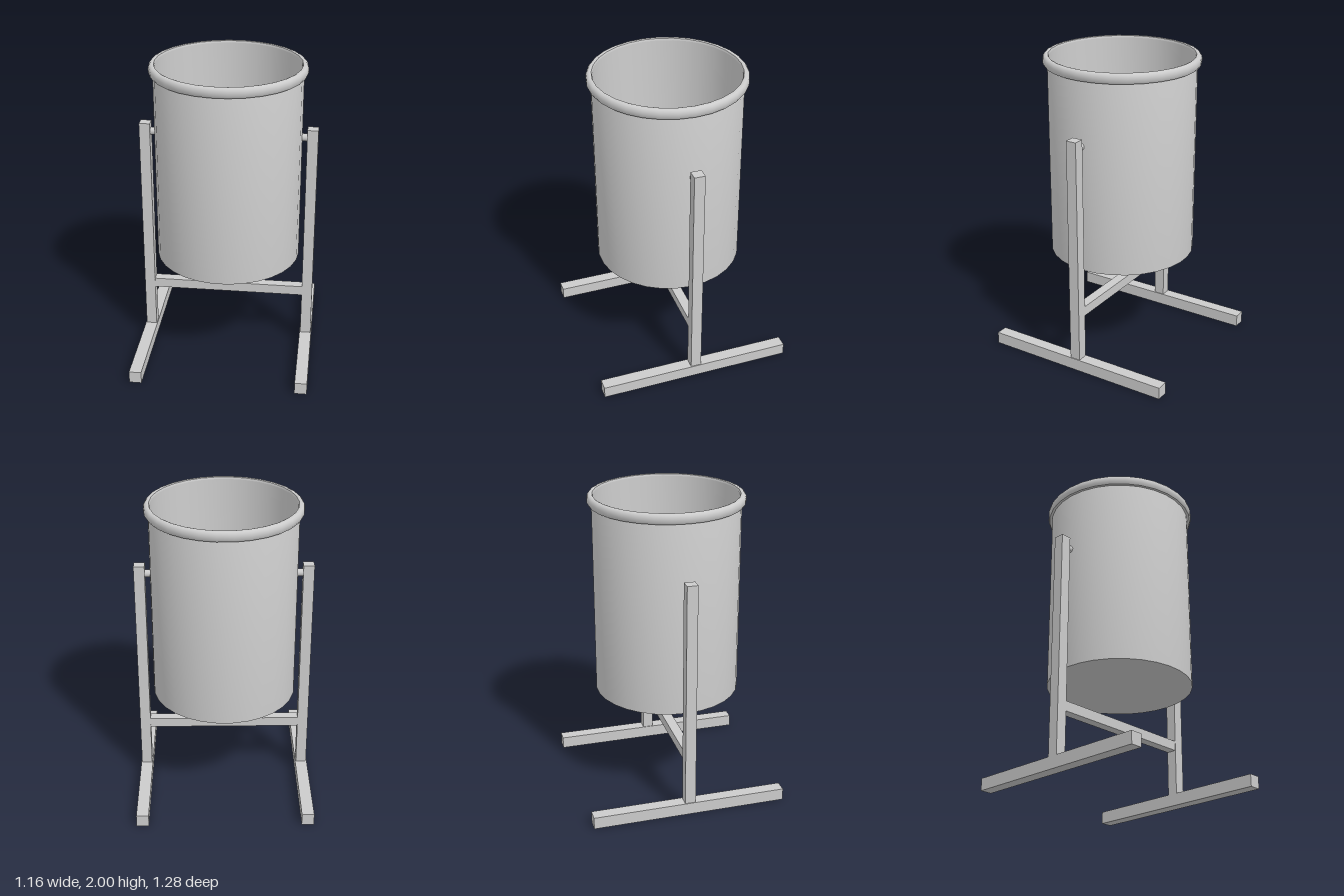
import * as THREE from 'three';
import { toCreasedNormals } from 'three/addons/utils/BufferGeometryUtils.js';

export function createModel() {
  const model = new THREE.Group();
  model.name = 'tiltingBin';
  const material = new THREE.MeshStandardMaterial({ color: 0xcccccc });
  const sides = 30;

  function add(name, geometry, x = 0, y = 0, z = 0) {
    const mesh = new THREE.Mesh(geometry, material);
    mesh.name = name;
    mesh.position.set(x, y, z);
    model.add(mesh);
    return mesh;
  }

  // Revolved part; the half-step start puts a flat side at the front
  function revolve(name, profile) {
    const points = profile.map(([r, y]) => new THREE.Vector2(r, y));
    const geometry = new THREE.LatheGeometry(points, sides, Math.PI / sides);
    return add(name, toCreasedNormals(geometry, 0.6));
  }

  // Drum: shallow cone underneath, straight outside wall, tapered inside wall and floor
  revolve('drum', [
    [0, 0.667], [0.473, 0.683], [0.473, 1.945],
    [0.46, 1.985], [0.425, 0.72], [0, 0.71],
  ]);

  // Rolled rim around the mouth
  revolve('rim', [
    [0.46, 1.945], [0.473, 1.935], [0.49, 1.935], [0.499, 1.95], [0.5, 1.97],
    [0.497, 1.985], [0.488, 1.996], [0.475, 2], [0.465, 1.997], [0.46, 1.985], [0.46, 1.945],
  ]);

  // Mirrored side frames: foot, post and pivot pin
  for (const [side, s] of [['left', 1], ['right', -1]]) {
    add(side + 'Foot', new THREE.BoxGeometry(0.08, 0.08, 1.28), s * 0.54, 0.04);
    add(side + 'Post', new THREE.BoxGeometry(0.07, 1.5, 0.07), s * 0.54, 0.83);
    const pin = add(side + 'Pivot', new THREE.CylinderGeometry(0.025, 0.025, 0.06, 16), s * 0.49, 1.52);
    pin.rotation.z = Math.PI / 2;
  }

  // Bar joining the posts below the drum
  add('crossbar', new THREE.BoxGeometry(1.01, 0.065, 0.065), 0, 0.408);

  return model;
}
